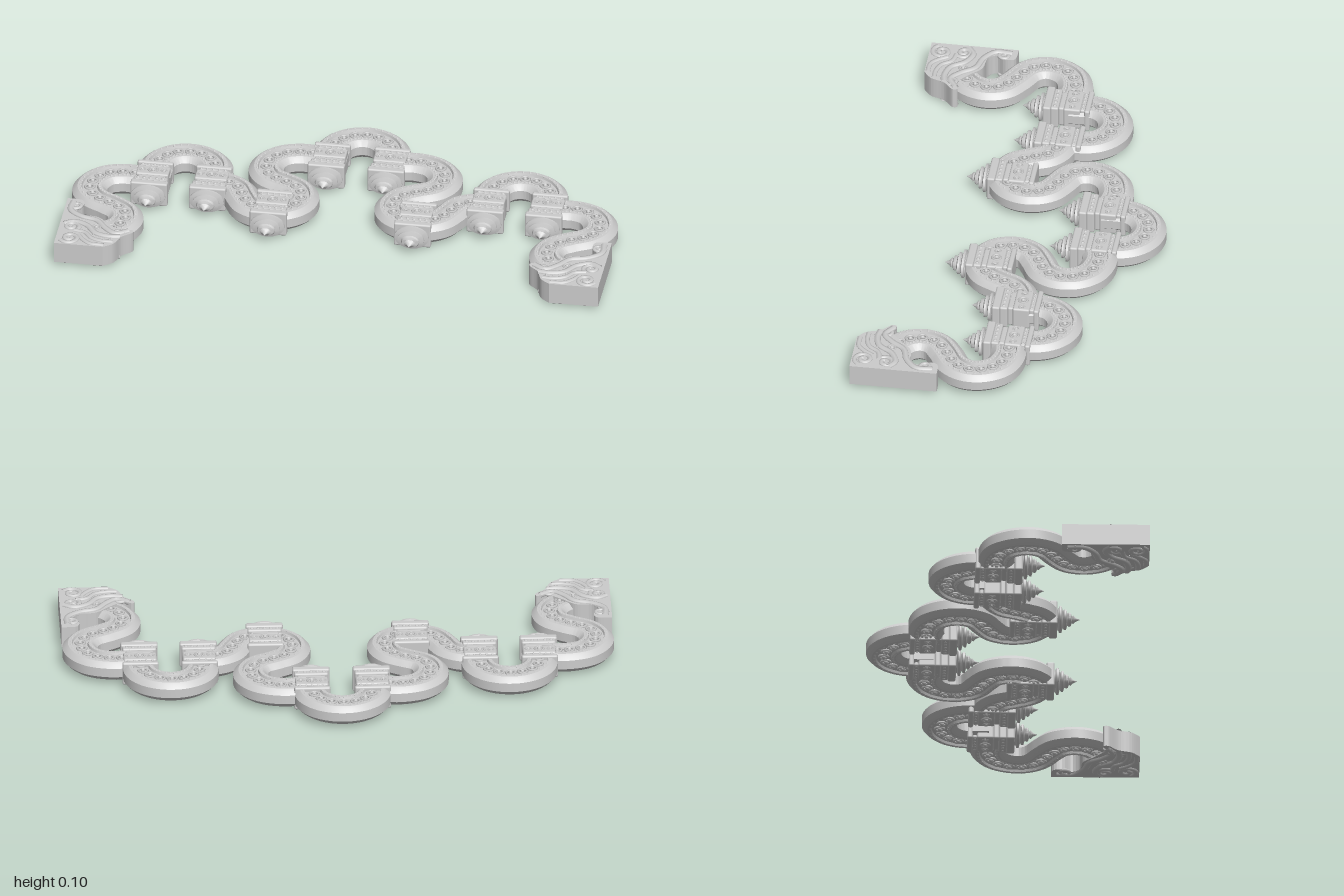
import * as THREE from 'three';
import { mergeGeometries, toCreasedNormals } from 'three/addons/utils/BufferGeometryUtils.js';
import { RoundedBoxGeometry } from 'three/addons/geometries/RoundedBoxGeometry.js';

const MID = 0.0475; // height of the middle plane; both faces are ornamented
const mat = new THREE.MeshStandardMaterial({ color: 0xcccccc, side: THREE.DoubleSide });

function add(parent, name, geo) {
  const m = new THREE.Mesh(geo, mat);
  m.name = name;
  parent.add(m);
  return m;
}

const merge = (list) => mergeGeometries(list.map((g) => (g.index ? g.toNonIndexed() : g)));

const curveFrom = (pts, s) =>
  new THREE.CatmullRomCurve3(pts.map(([x, z]) => new THREE.Vector3(x * s, MID, z)), false, 'centripetal');

// Half of the band's profile: bevelled rims with a sunken channel between
const HALF = [[0.064, 0.017], [0.052, 0.03], [0.044, 0.036], [0.03, 0.037], [0.027, 0.028]];
const TOP = [...HALF, ...HALF.map(([a, b]) => [-a, b]).reverse()];
const SECTION = [...TOP, ...TOP.map(([a, b]) => [-a, -b])];

function sweep(curve, n) {
  const pos = [], idx = [], k = SECTION.length;
  for (let i = 0; i <= n; i++) {
    const p = curve.getPointAt(i / n), t = curve.getTangentAt(i / n);
    for (const [a, b] of SECTION) pos.push(p.x - t.z * a, p.y + b, p.z + t.x * a);
  }
  for (let i = 0; i < n; i++) {
    for (let j = 0; j < k; j++) {
      const a = i * k + j, b = i * k + (j + 1) % k;
      idx.push(a, a + k, b, b, a + k, b + k);
    }
  }
  const g = new THREE.BufferGeometry();
  g.setAttribute('position', new THREE.Float32BufferAttribute(pos, 3));
  g.setIndex(idx);
  return toCreasedNormals(g, 0.5);
}

// Ring with a domed centre, lying flat
function rosette(x, y, z, r) {
  return [
    new THREE.TorusGeometry(r * 0.78, r * 0.24, 5, 12).rotateX(Math.PI / 2).translate(x, y, z),
    new THREE.SphereGeometry(r * 0.4, 7, 5).translate(x, y, z),
  ];
}

// Curved band with rosettes in its channel and beads on its rims
function band(parent, name, pts, s = 1) {
  const g = new THREE.Group();
  g.name = name;
  parent.add(g);
  const curve = curveFrom(pts, s), len = curve.getLength();
  add(g, 'bandBody', sweep(curve, Math.round(len * 110)));
  const flowers = [], beads = [];
  const nf = Math.round(len / 0.046), nb = Math.round(len / 0.02);
  for (let i = 0; i < nf; i++) {
    const p = curve.getPointAt((i + 0.5) / nf);
    for (const f of [1, -1]) flowers.push(...rosette(p.x, MID + f * 0.03, p.z, 0.021));
  }
  for (let i = 0; i < nb; i++) {
    const u = (i + 0.5) / nb, p = curve.getPointAt(u), t = curve.getTangentAt(u);
    for (const f of [1, -1]) for (const w of [0.034, -0.034]) {
      beads.push(new THREE.OctahedronGeometry(0.006).translate(p.x - t.z * w, MID + f * 0.036, p.z + t.x * w));
    }
  }
  add(g, 'bandRosettes', merge(flowers));
  add(g, 'bandBeads', merge(beads));
}

// Half-circle arch with short straight legs
function archPoints(cx, cz, r) {
  const pts = [[cx + r, cz + 0.07]];
  for (let i = 0; i <= 12; i++) {
    const a = (i / 12) * Math.PI;
    pts.push([cx + r * Math.cos(a), cz - r * Math.sin(a)]);
  }
  pts.push([cx - r, cz + 0.07]);
  return pts;
}

// Stacked capital: [start, length, width, height]
const STAGES = [
  [0, 0.02, 0.132, 0.088], [0.018, 0.02, 0.108, 0.08], [0.035, 0.062, 0.12, 0.084],
  [0.095, 0.022, 0.104, 0.078], [0.115, 0.03, 0.124, 0.088], [0.143, 0.03, 0.136, 0.094],
];
const FINIAL = [
  [0.05, 0], [0.05, 0.008], [0.063, 0.012], [0.063, 0.02], [0.04, 0.025], [0.049, 0.03], [0.049, 0.037],
  [0.028, 0.042], [0.034, 0.047], [0.03, 0.054], [0.016, 0.058], [0.021, 0.063], [0.01, 0.071], [0, 0.088],
];

function pendant(parent, x, z) {
  const g = new THREE.Group();
  g.name = 'pendant';
  g.position.set(x, MID, z);
  parent.add(g);
  add(g, 'capital', merge(STAGES.map(([a, l, w, h]) =>
    new RoundedBoxGeometry(w, h, l, 2, 0.007).translate(0, 0, a + l / 2))));
  // Studs and flowers on the two broad faces
  const trim = [];
  for (const f of [1, -1]) {
    trim.push(...rosette(0, f * 0.041, 0.066, 0.021));
    for (const sx of [-1, 1]) trim.push(...rosette(sx * 0.04, f * 0.041, 0.066, 0.014));
    for (let i = -2; i <= 2; i++) {
      trim.push(new THREE.SphereGeometry(0.008, 6, 4).translate(i * 0.023, f * 0.041, 0.13));
      trim.push(new THREE.SphereGeometry(0.006, 6, 4).translate(i * 0.022, f * 0.038, 0.028));
    }
  }
  add(g, 'capitalTrim', merge(trim));
  const lathe = new THREE.LatheGeometry(FINIAL.map(([r, y]) => new THREE.Vector2(r, y)), 20);
  add(g, 'finial', toCreasedNormals(lathe.rotateX(Math.PI / 2).scale(1, 0.72, 1).translate(0, 0, 0.168), 0.6));
}

// Spiral path for carved curls
function spiral(cx, cz, r, start, turns) {
  const pts = [];
  for (let i = 0; i <= 16; i++) {
    const u = i / 16, a = start + u * turns * Math.PI * 2;
    pts.push([cx + r * (1 - 0.8 * u) * Math.cos(a), cz + r * (1 - 0.8 * u) * Math.sin(a)]);
  }
  return pts;
}

// Beast head block that ends each side
function head(parent, s) {
  const g = new THREE.Group();
  g.name = 'beastHead';
  parent.add(g);
  const v = (x, z) => new THREE.Vector2(x * s, z);
  const shape = new THREE.Shape([v(1, 0.18), v(1, 0.5), v(0.82, 0.5)]);
  shape.splineThru([v(0.785, 0.47), v(0.765, 0.42), v(0.73, 0.385), v(0.735, 0.365), v(0.77, 0.375),
    v(0.82, 0.34), v(0.87, 0.295), v(0.93, 0.285), v(0.955, 0.255), v(0.935, 0.22), v(0.945, 0.185), v(1, 0.18)]);
  const plate = new THREE.ExtrudeGeometry(shape, { depth: 0.08, bevelEnabled: false, curveSegments: 40 });
  add(g, 'headBlock', toCreasedNormals(plate.rotateX(Math.PI / 2).translate(0, MID + 0.04, 0), 0.6));
  // Raised carving: [radius, path]
  const lines = [
    [0.013, [[0.745, 0.375], [0.79, 0.4], [0.83, 0.37], [0.87, 0.32], [0.93, 0.3], [0.975, 0.26], [0.975, 0.2]]],
    [0.013, [[0.77, 0.42], [0.81, 0.425], [0.86, 0.41], [0.9, 0.36], [0.95, 0.34], [0.985, 0.36]]],
    [0.01, [[0.79, 0.46], [0.83, 0.46], [0.87, 0.445], [0.9, 0.41], [0.94, 0.4]]],
    [0.01, [[0.82, 0.488], [0.87, 0.485], [0.9, 0.46], [0.92, 0.43]]],
    [0.01, spiral(0.95, 0.455, 0.037, 0.5, 1.4)],
    [0.01, spiral(0.955, 0.375, 0.03, 2.5, 1.3)],
    [0.008, spiral(0.96, 0.225, 0.025, 0, 1.2)],
    [0.008, spiral(0.78, 0.395, 0.022, 3, 1.2)],
  ];
  const carve = [], eyes = [], teeth = [];
  for (const f of [1, -1]) {
    const y = MID + f * 0.039;
    for (const [r, pts] of lines) {
      const c = curveFrom(pts, s);
      carve.push(new THREE.TubeGeometry(c, 32, r, 7).scale(1, 0.75, 1).translate(0, y - MID * 0.75, 0));
    }
    eyes.push(...rosette(0.865 * s, y, 0.365, 0.019));
    for (let i = 0; i < 4; i++) {
      teeth.push(new THREE.ConeGeometry(0.007, 0.024, 6).rotateX(Math.PI / 2)
        .translate((0.8 + i * 0.023) * s, y, 0.443 - i * 0.008));
    }
  }
  add(g, 'headCarving', merge(carve));
  add(g, 'eyes', merge(eyes));
  add(g, 'teeth', merge(teeth));
}

const INNER_S = [[0.11, -0.28], [0.15, -0.29], [0.21, -0.297], [0.28, -0.275], [0.32, -0.225], [0.326, -0.165],
  [0.3, -0.115], [0.24, -0.08], [0.19, -0.045], [0.167, 0.015], [0.183, 0.075], [0.23, 0.112], [0.285, 0.12],
  [0.345, 0.093], [0.378, 0.04], [0.405, -0.015], [0.45, -0.045], [0.51, -0.05]];
const OUTER_S = [[0.725, -0.04], [0.77, -0.05], [0.83, -0.054], [0.895, -0.03], [0.932, 0.025], [0.935, 0.08],
  [0.905, 0.13], [0.84, 0.17], [0.79, 0.21], [0.774, 0.265], [0.79, 0.315], [0.83, 0.355], [0.87, 0.38]];

export function createModel() {
  const model = new THREE.Group();
  model.name = 'ornamentalGarland';
  band(model, 'centreArch', archPoints(0, -0.335, 0.112));
  for (const s of [1, -1]) {
    const side = new THREE.Group();
    side.name = s > 0 ? 'leftSide' : 'rightSide';
    model.add(side);
    band(side, 'innerScroll', INNER_S, s);
    band(side, 'sideArch', archPoints(0.615, -0.122, 0.11), s);
    band(side, 'outerScroll', OUTER_S, s);
    for (const [x, z] of [[0.11, -0.355], [0.265, 0.005], [0.51, -0.13], [0.725, -0.13]]) pendant(side, x * s, z);
    head(side, s);
  }
  return model;
}
